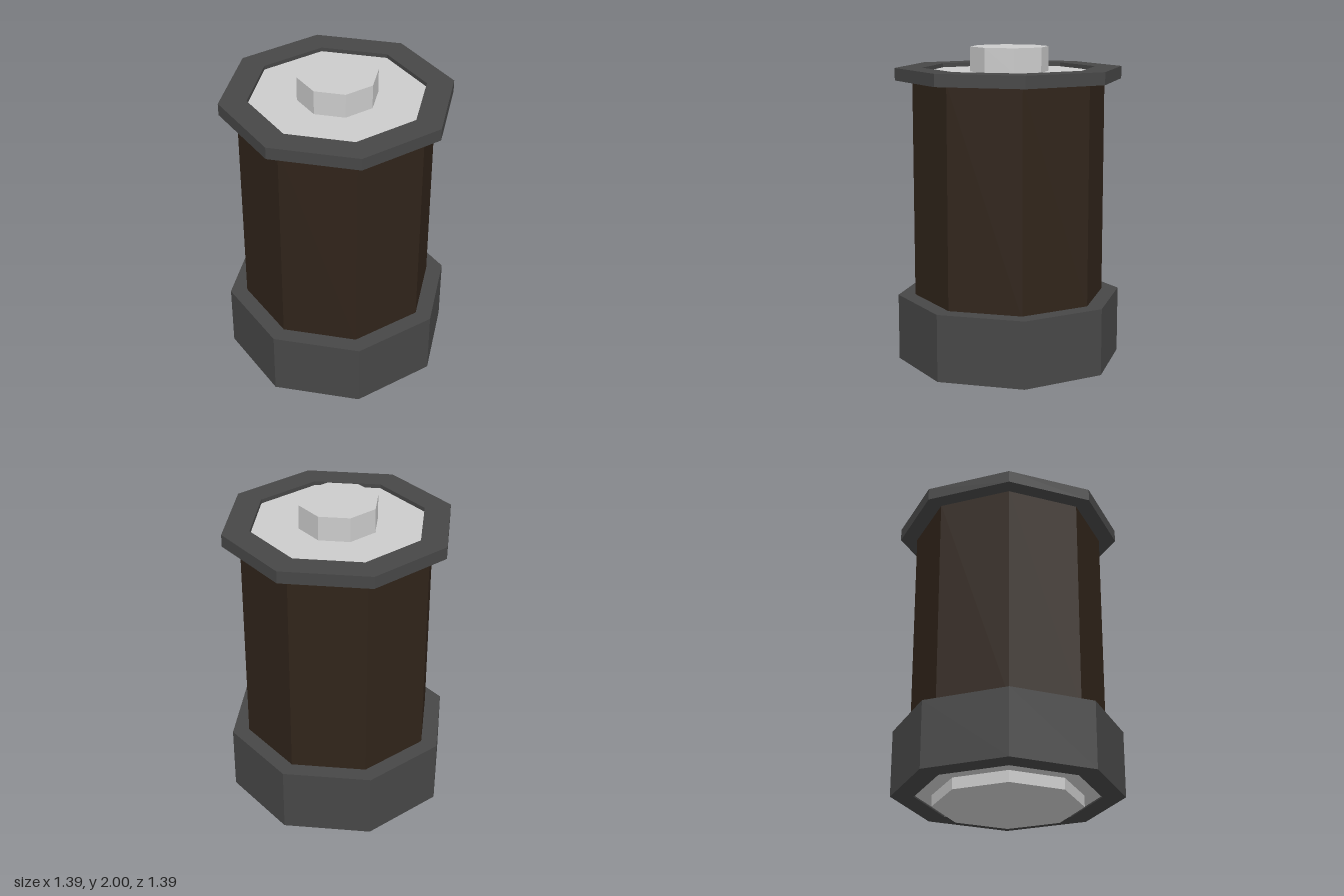
import * as THREE from 'three';

const SIDES = 8;

export function createModel() {
  const model = new THREE.Group();
  const material = (color) => new THREE.MeshStandardMaterial({ color, flatShading: true });
  const metal = material(0xcccccc);
  const darkPlastic = material(0x474747);
  const brownCasing = material(0x30241a);

  // Eight-sided part turned from a bottom-to-top profile of [radius, y]
  function turned(name, profile, mat) {
    const points = profile.map(([r, y]) => new THREE.Vector2(r, y));
    const mesh = new THREE.Mesh(new THREE.LatheGeometry(points, SIDES), mat);
    mesh.name = name;
    model.add(mesh);
  }

  // Closed ring with a rectangular section
  const ring = (inner, outer, y0, y1) =>
    [[inner, y0], [outer, y0], [outer, y1], [inner, y1], [inner, y0]];
  // Solid disc
  const disc = (r, y0, y1) => [[0, y0], [r, y0], [r, y1], [0, y1]];

  // Casing between the two collars
  turned('casing', [[0.59, 0.45], [0.59, 1.81]], brownCasing);

  // Collars
  turned('baseCollar', ring(0.555, 0.695, 0.06, 0.47), darkPlastic);
  turned('topCollar', ring(0.53, 0.695, 1.8, 1.875), darkPlastic);

  // Plates recessed inside the collars
  turned('basePlate', [[0, 0.07], [0.555, 0.07]], metal);
  turned('topPlate', [[0.53, 1.85], [0, 1.85]], metal);

  // Contacts at either end
  turned('baseContact', disc(0.45, 0, 0.07), metal);
  turned('topContact', disc(0.24, 1.85, 2), metal);

  return model;
}
